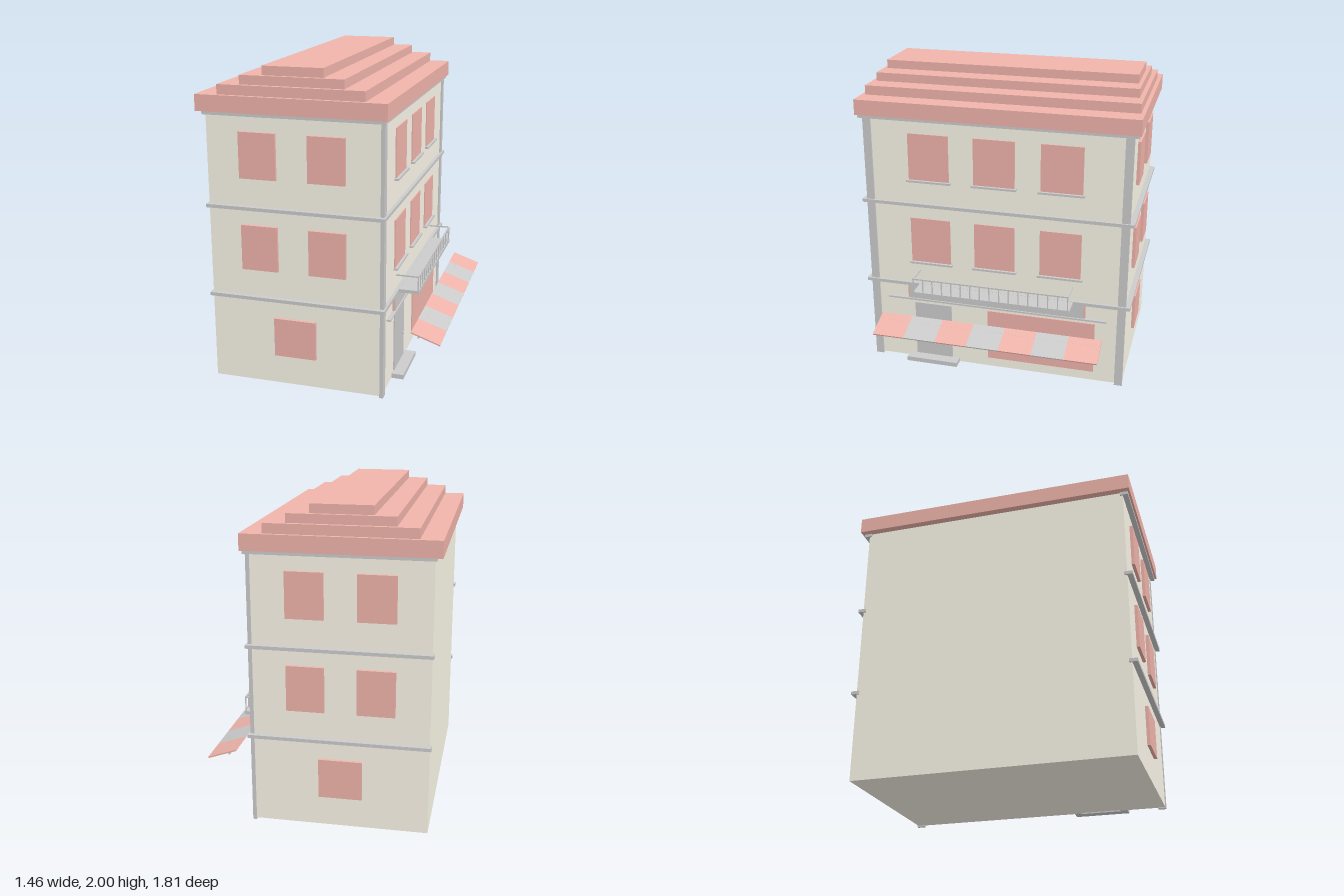
import * as THREE from 'three';

const plaster = new THREE.MeshStandardMaterial({ color: 0xfaf6e8 });
const rose = new THREE.MeshStandardMaterial({ color: 0xefb4aa });
const grey = new THREE.MeshStandardMaterial({ color: 0xcccccc });

export function createModel() {
  const model = new THREE.Group();
  model.name = 'townhouse';

  // Box given by its minimum and maximum on each axis
  function box(name, mat, [x0, x1], [y0, y1], [z0, z1], parent = model) {
    const mesh = new THREE.Mesh(new THREE.BoxGeometry(x1 - x0, y1 - y0, z1 - z0), mat);
    mesh.position.set((x0 + x1) / 2, (y0 + y1) / 2, (z0 + z1) / 2);
    mesh.name = name;
    parent.add(mesh);
    return mesh;
  }
  function group(name) {
    const g = new THREE.Group();
    g.name = name;
    model.add(g);
    return g;
  }
  const wallX = 0.395, wallZ = 0.857;

  // Walls
  box('walls', plaster, [-0.69, wallX], [0.015, 1.73], [-wallZ, wallZ]);

  // Stepped roof
  const roof = group('roof');
  [
    [-0.735, 0.43, 1.73, 1.83, 0.903],
    [-0.603, 0.297, 1.83, 1.89, 0.878],
    [-0.472, 0.166, 1.89, 1.945, 0.85],
    [-0.34, 0.034, 1.945, 2.0, 0.825],
  ].forEach(([x0, x1, y0, y1, z]) => box('roofStep', rose, [x0, x1], [y0, y1], [-z, z], roof));

  // Corner pilasters on the street side
  for (const s of [-1, 1]) {
    const z = [s * 0.81, s * 0.862].sort((a, b) => a - b);
    box('pilaster', grey, [0.383, 0.406], [0.005, 1.73], z);
  }

  // Storey bands along the street side and both ends; the rear wall is plain
  const bands = group('storeyBands');
  for (const y of [0.568, 1.14, 1.71]) {
    const h = [y, y + 0.021];
    box('streetBand', grey, [0.375, 0.417], h, [-0.89, 0.89], bands);
    box('endBand', grey, [-0.70, 0.417], h, [0.84, 0.89], bands);
    box('endBand', grey, [-0.70, 0.417], h, [-0.89, -0.84], bands);
  }

  // End windows, mirrored front to back
  const endWindows = group('endWindows');
  for (const z of [[0.84, 0.877], [-0.877, -0.84]]) {
    for (const y of [0.76, 1.333]) {
      for (const x of [-0.482, -0.055]) {
        box('endWindow', rose, [x, x + 0.23], [y, y + 0.283], z, endWindows);
      }
    }
    box('groundEndWindow', rose, [-0.285, -0.018], [0.207, 0.455], z, endWindows);
  }

  // Street windows with sills
  const streetWindows = group('streetWindows');
  for (const y of [0.742, 1.315]) {
    for (const z of [-0.43, 0.003, 0.433]) {
      box('streetWindow', rose, [0.38, 0.402], [y, y + 0.312], [z - 0.134, z + 0.134], streetWindows);
      box('sill', grey, [0.38, 0.42], [y - 0.008, y + 0.005], [z - 0.147, z + 0.147], streetWindows);
    }
  }

  // Shop front: display window, door with knob, step, fascia board and ledge
  box('shopWindow', rose, [0.38, 0.402], [0.08, 0.435], [-0.667, 0.052]);
  box('door', grey, [0.38, 0.402], [0.007, 0.435], [0.305, 0.56]);
  const knob = new THREE.Mesh(new THREE.SphereGeometry(0.008, 12, 8), grey);
  knob.position.set(0.407, 0.21, 0.335);
  knob.name = 'doorKnob';
  model.add(knob);
  box('doorStep', grey, [0.39, 0.473], [0.015, 0.045], [0.255, 0.608]);
  box('fasciaFrame', rose, [0.38, 0.408], [0.468, 0.58], [-0.603, 0.603]);
  box('fasciaBoard', grey, [0.39, 0.412], [0.47, 0.575], [-0.593, 0.593]);
  box('fasciaLedge', grey, [0.39, 0.421], [0.462, 0.473], [-0.743, 0.743]);

  // Balcony floor, railing and balusters
  const balcony = group('balcony');
  box('balconyFloor', grey, [0.39, 0.543], [0.566, 0.588], [-0.523, 0.517], balcony);
  box('frontRail', grey, [0.533, 0.543], [0.677, 0.686], [-0.516, 0.52], balcony);
  for (const z of [-0.516, 0.511]) {
    box('sideRail', grey, [0.39, 0.543], [0.677, 0.686], [z, z + 0.009], balcony);
  }
  for (let i = 0; i <= 16; i++) {
    const z = -0.511 + i * 0.0641;
    box('baluster', grey, [0.535, 0.542], [0.588, 0.68], [z - 0.0035, z + 0.0035], balcony);
  }

  // Sloping striped awning with its support bar
  const awning = group('awning');
  const slope = Math.atan2(0.064, 0.185);
  const stripe = 1.478 / 7;
  for (let i = 0; i < 7; i++) {
    const z = -0.739 + i * stripe;
    const panel = box('awningStripe', i % 2 ? grey : rose,
      [-0.097, 0.097], [-0.0045, 0.0045], [z, z + stripe], awning);
    panel.position.x = 0.636;
    panel.position.y = 0.374;
    panel.rotation.z = -slope;
  }
  box('awningBar', grey, [0.586, 0.596], [0.372, 0.393], [-0.735, 0.735], awning);

  return model;
}
